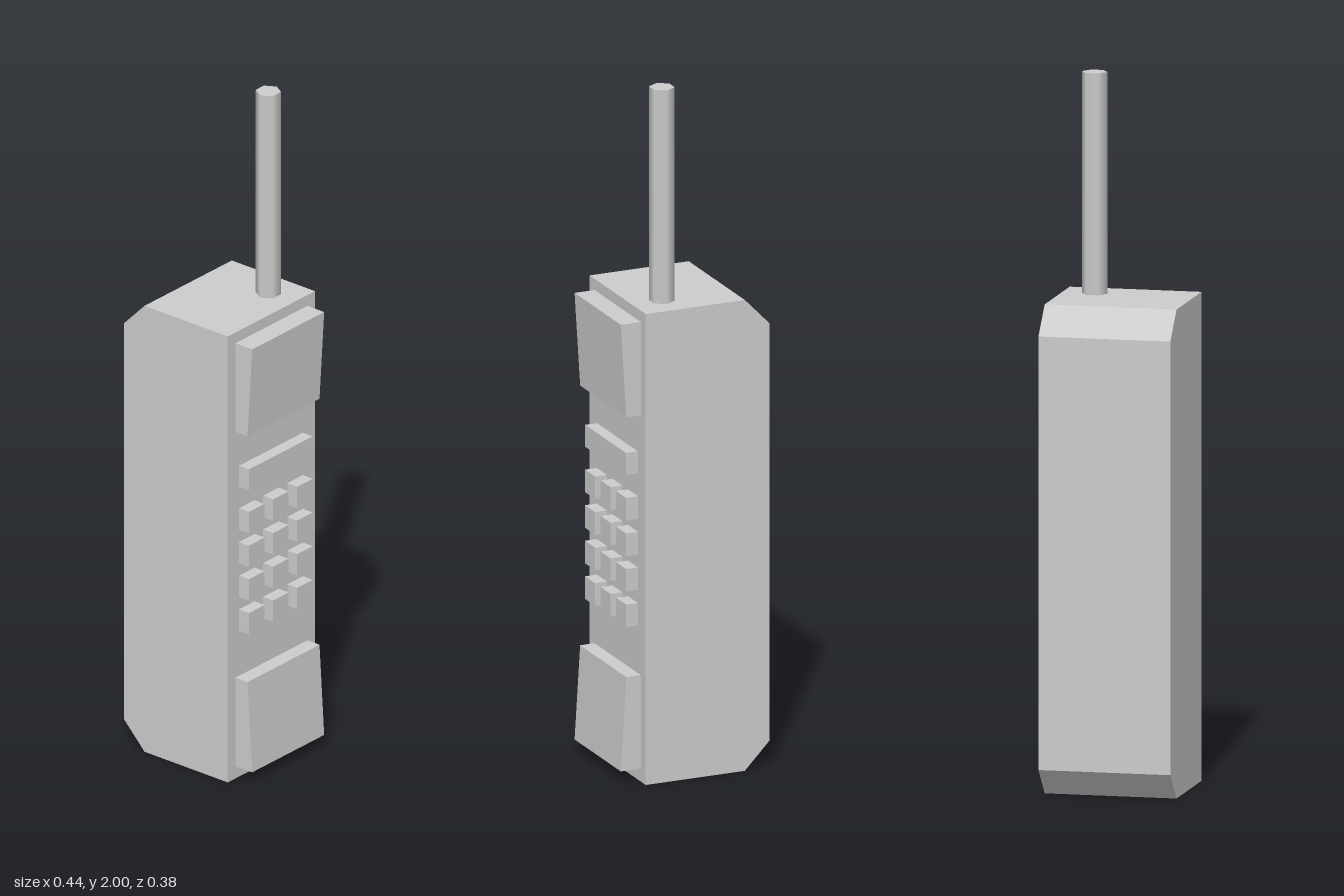
import * as THREE from 'three';

export function createModel() {
  const model = new THREE.Group();
  model.name = 'handset';
  const grey = new THREE.MeshStandardMaterial({ color: 0xcccccc });
  grey.name = 'light grey';

  const add = (name, geometry, x = 0, y = 0, z = 0) => {
    const mesh = new THREE.Mesh(geometry, grey);
    mesh.name = name;
    mesh.position.set(x, y, z);
    model.add(mesh);
    return mesh;
  };

  // Side profile in x and y, extruded evenly about z = 0
  const prism = (points, depth) => {
    const shape = new THREE.Shape(points.map(([x, y]) => new THREE.Vector2(x, y)));
    return new THREE.ExtrudeGeometry(shape, { depth, bevelEnabled: false }).translate(0, 0, -depth / 2);
  };

  const FACE = 0.157; // x of the keypad face
  const HEIGHT = 1.376;

  // Body with chamfered back edges
  add('body', prism([
    [-0.145, 0], [FACE, 0], [FACE, HEIGHT], [-0.145, HEIGHT],
    [-0.22, HEIGHT - 0.078], [-0.22, 0.078],
  ], 0.376));

  // Sloping earpiece and mouthpiece pads, thicker at their outer ends
  add('earpiece', prism([[FACE, 1.07], [0.201, 1.07], [0.218, 1.343], [FACE, 1.343]], 0.31));
  add('mouthpiece', prism([[FACE, 0.038], [0.218, 0.038], [0.201, 0.311], [FACE, 0.311]], 0.31));

  // Raised display bar and 3 x 4 keypad
  const raise = 0.036;
  const raisedX = FACE + raise / 2;
  add('display', new THREE.BoxGeometry(raise, 0.064, 0.274), raisedX, 0.927, 0.002);
  const key = new THREE.BoxGeometry(raise, 0.066, 0.067);
  for (let row = 0; row < 4; row++) {
    for (let col = 0; col < 3; col++) {
      add('key', key, raisedX, 0.795 - row * 0.104, 0.106 - col * 0.104);
    }
  }

  // Six-sided antenna
  const length = 2 - HEIGHT;
  add('antenna', new THREE.CylinderGeometry(0.036, 0.036, length, 6), 0.066, HEIGHT + length / 2, -0.095);

  return model;
}
